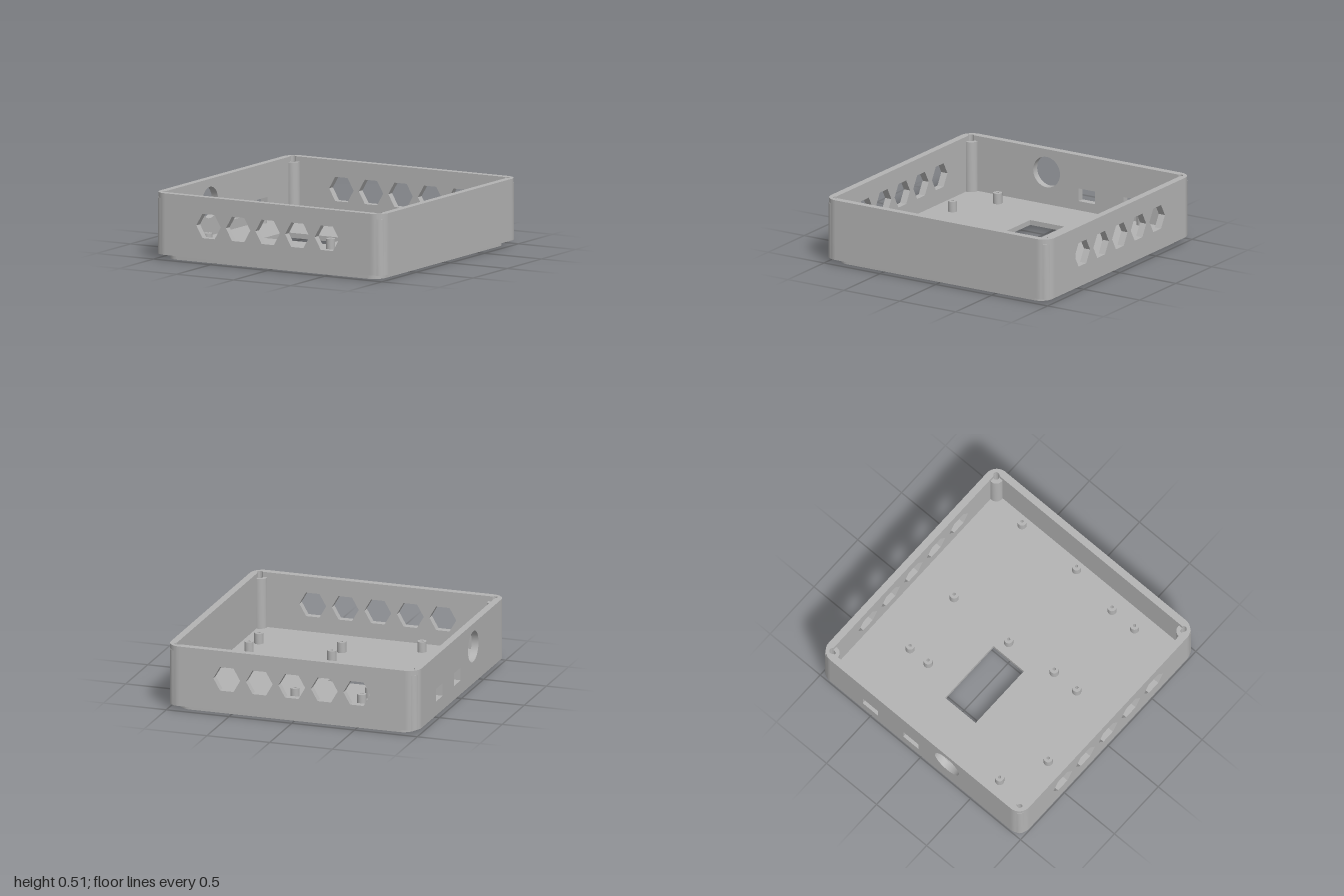
import * as THREE from 'three';
import { toCreasedNormals } from 'three/addons/utils/BufferGeometryUtils.js';

const TOP = 0.51, RIM = 0.04, FLOOR = 0.078, BOSS_TOP = 0.47, POST_TOP = 0.16;
const IN = 0.945, WALL = 0.055, CORNER = 0.1, SCREW = 0.935, SCREW_R = 0.023;

const grey = new THREE.MeshStandardMaterial({ color: 0xb3b3b3 });
grey.name = 'grey plastic';

function mesh(geometry, name) {
  const m = new THREE.Mesh(toCreasedNormals(geometry, 0.6), grey);
  m.name = name;
  return m;
}

// Extrude a plan outline (x, z) between two heights
function slab(shape, y0, y1, curveSegments = 10) {
  const g = new THREE.ExtrudeGeometry(shape, { depth: y1 - y0, bevelEnabled: false, curveSegments });
  return g.rotateX(Math.PI / 2).translate(0, y1, 0);
}

function polygon(points) {
  return new THREE.Shape(points.map(([x, y]) => new THREE.Vector2(x, y)));
}

const rect = (x0, y0, x1, y1) => polygon([[x0, y0], [x1, y0], [x1, y1], [x0, y1]]);

function roundedSquare(h, r) {
  const s = new THREE.Shape(), c = h - r;
  [[c, c], [-c, c], [-c, -c], [c, -c]].forEach(([x, y], i) =>
    s.absarc(x, y, r, i * Math.PI / 2, (i + 1) * Math.PI / 2, false));
  s.closePath();
  return s;
}

function tube(radius, hole) {
  const s = new THREE.Shape().absarc(0, 0, radius, 0, Math.PI * 2, false);
  s.holes.push(new THREE.Path().absarc(0, 0, hole, 0, Math.PI * 2, true));
  return s;
}

// Upright wall panel with openings, facing +z
function panel(holes) {
  const e = 1 - CORNER, s = rect(-e, RIM, e, TOP);
  s.holes.push(...holes);
  return new THREE.ExtrudeGeometry(s, { depth: WALL, bevelEnabled: false, curveSegments: 16 });
}

function hexagon(x, y, r) {
  return polygon(Array.from({ length: 6 }, (_, i) =>
    [x + r * Math.cos(i * Math.PI / 3), y + r * Math.sin(i * Math.PI / 3)]));
}

export function createModel() {
  const model = new THREE.Group();
  model.name = 'enclosure';

  // Front and back walls with five hexagonal openings
  const hexes = () => [-2, -1, 0, 1, 2].map(i => hexagon(i * 0.259, 0.29, 0.107));
  model.add(mesh(panel(hexes()).translate(0, 0, IN), 'frontWall'));
  model.add(mesh(panel(hexes()).translate(0, 0, -1), 'backWall'));

  // Plain left wall, right wall with a round socket and two ports
  model.add(mesh(panel([]).rotateY(-Math.PI / 2).translate(1, 0, 0), 'leftWall'));
  const ports = [-0.5, -0.095].map(z => rect(z - 0.075, 0.15, z + 0.075, 0.25));
  const socket = new THREE.Path().absarc(0.265, 0.33, 0.12, 0, Math.PI * 2, true);
  model.add(mesh(panel([...ports, socket]).rotateY(-Math.PI / 2).translate(-IN, 0, 0), 'rightWall'));

  // Rounded wall corners, notched by the screw holes, each with a screw boss
  const e = 1 - CORNER, d = IN - SCREW;
  const reach = Math.sqrt(SCREW_R ** 2 - d ** 2);
  const corner = new THREE.Shape();
  corner.moveTo(IN, e);
  corner.lineTo(1, e);
  corner.absarc(e, e, CORNER, 0, Math.PI / 2, false);
  corner.lineTo(e, IN);
  corner.absarc(SCREW, SCREW, SCREW_R, Math.atan2(d, -reach), Math.atan2(-reach, d), true);
  corner.closePath();
  for (let i = 0; i < 4; i++) {
    const g = new THREE.Group();
    g.name = 'corner' + (i + 1);
    g.add(mesh(slab(corner, RIM, TOP), 'wallCorner'));
    g.add(mesh(slab(tube(0.055, SCREW_R), RIM, BOSS_TOP).translate(SCREW, 0, SCREW), 'screwBoss'));
    g.rotation.y = i * Math.PI / 2;
    model.add(g);
  }

  // Floor with display window, cut back around the bosses
  const floor = new THREE.Shape(), cut = 0.04;
  const a = Math.atan2(-Math.sqrt(cut ** 2 - d ** 2), d);
  for (let i = 0; i < 4; i++) {
    const t = i * Math.PI / 2, q = t + Math.PI / 4, r = SCREW * Math.SQRT2;
    floor.absarc(r * Math.cos(q), r * Math.sin(q), cut, t + a, t + Math.PI / 2 - a - Math.PI * 2, true);
  }
  floor.closePath();
  floor.holes.push(rect(-0.54, -0.155, 0.01, 0.15));
  model.add(mesh(slab(floor, RIM, FLOOR), 'floor'));

  // Locating lip under the base
  const lip = roundedSquare(0.935, 0.1);
  lip.holes.push(roundedSquare(0.905, 0.07));
  model.add(mesh(slab(lip, 0, RIM), 'bottomLip'));

  // Circuit board standoffs
  const posts = [
    [-0.9, -0.61], [-0.9, -0.43], [-0.42, -0.61], [-0.42, -0.43],
    [0.105, -0.63], [0.88, -0.63], [0.105, -0.085], [0.88, -0.085],
    [0.15, 0.33], [0.81, 0.33], [0.15, 0.555], [0.81, 0.555],
    [-0.77, 0.59], [-0.415, 0.765],
  ];
  const standoffs = new THREE.Group();
  standoffs.name = 'standoffs';
  for (const [x, z] of posts)
    standoffs.add(mesh(slab(tube(0.035, 0.012), FLOOR, POST_TOP).translate(x, 0, z), 'standoff'));
  model.add(standoffs);

  return model;
}
